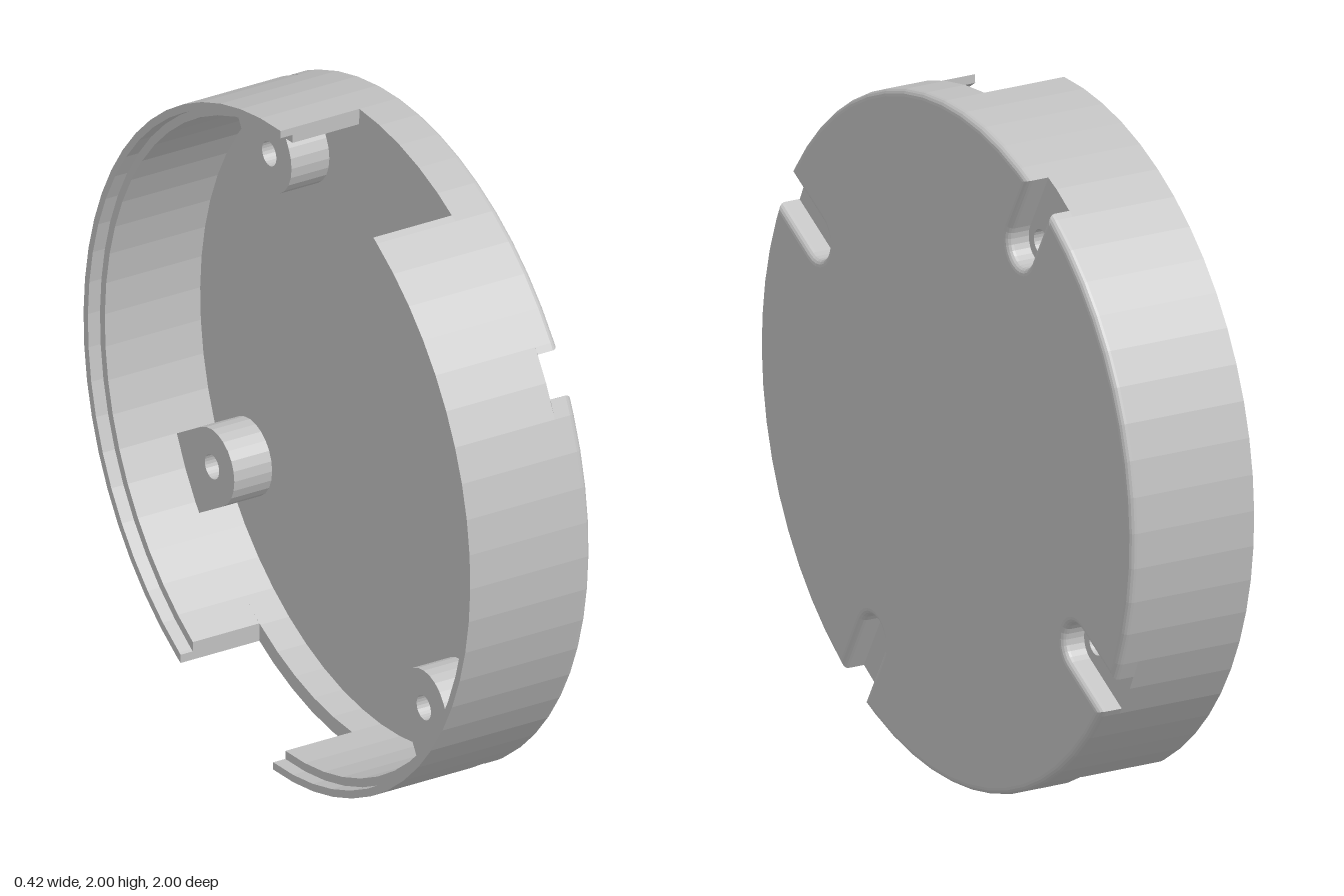
import * as THREE from 'three';

const R = 0.9975, INNER = 0.95, LIP = 0.975;   // outer wall, inner wall, rim lip radii
const SLOT = 0.065, HOLE = 0.8;                // slot half width, screw hole distance
const STEP = Math.PI / 30;
const slotAngles = [-121, -31, 59, 149].map(THREE.MathUtils.degToRad);
const grey = new THREE.MeshStandardMaterial({ color: 0xc0c0c0 });
grey.name = 'light grey plastic';

// Points on a circle, snapped to a common facet grid between the two ends
function arc(r, a0, a1) {
  const pts = [[r * Math.cos(a0), r * Math.sin(a0)]];
  for (let k = Math.floor(a0 / STEP) + 1; k * STEP < a1 - 1e-3; k++) {
    if (k * STEP > a0 + 1e-3) pts.push([r * Math.cos(k * STEP), r * Math.sin(k * STEP)]);
  }
  pts.push([r * Math.cos(a1), r * Math.sin(a1)]);
  return pts;
}

const toShape = (pts) => new THREE.Shape(pts.map(([x, y]) => new THREE.Vector2(x, y)));

// Curved wall piece; start and end give the end angle at each radius
function wallShape(rIn, rOut, start, end) {
  return toShape([...arc(rOut, start(rOut), end(rOut)), ...arc(rIn, start(rIn), end(rIn)).reverse()]);
}

// Points around a rounded end that faces the disc centre
function roundEnd(radius, steps = 12) {
  return Array.from({ length: steps + 1 }, (_, i) => {
    const a = Math.PI / 2 + (Math.PI * i) / steps;
    return [HOLE + radius * Math.cos(a), radius * Math.sin(a)];
  });
}

const turn = ([x, y], a) => [x * Math.cos(a) - y * Math.sin(a), x * Math.sin(a) + y * Math.cos(a)];

export function createModel() {
  const model = new THREE.Group();
  model.name = 'roundCover';
  const body = new THREE.Group();
  body.name = 'coverBody';

  // Extrude along the disc axis between two depths
  function add(name, shape, from, to, angle = 0, bevel = 0) {
    const geo = new THREE.ExtrudeGeometry(shape, {
      depth: to - from - 2 * bevel, curveSegments: 12, bevelEnabled: bevel > 0,
      bevelSize: bevel, bevelThickness: bevel, bevelOffset: -bevel, bevelSegments: 4,
    });
    geo.translate(0, 0, from + bevel);
    geo.rotateZ(angle);
    geo.rotateY(Math.PI / 2);
    const mesh = new THREE.Mesh(geo, grey);
    mesh.name = name;
    body.add(mesh);
  }

  // Face plate with four open slots and a rounded edge
  const outline = [];
  slotAngles.forEach((a, i) => {
    const next = i < 3 ? slotAngles[i + 1] : slotAngles[0] + 2 * Math.PI;
    const half = Math.asin(SLOT / R);
    outline.push(...roundEnd(SLOT).reverse().map((p) => turn(p, a)));
    outline.push(...arc(R, a + half, next - half));
  });
  add('facePlate', toShape(outline), 0.155, 0.2, 0, 0.02);

  // Shoulder of the wall, interrupted by the slots
  slotAngles.forEach((a, i) => {
    const next = i < 3 ? slotAngles[i + 1] : slotAngles[0] + 2 * Math.PI;
    add('wallShoulder', wallShape(INNER, R,
      (r) => a + Math.asin(SLOT / r), (r) => next - Math.asin(SLOT / r)), 0.13, 0.178);
  });

  // Unbroken band of the wall
  const ring = toShape(arc(R, 0, 2 * Math.PI).slice(0, -1));
  ring.holes.push(new THREE.Path(arc(INNER, 0, 2 * Math.PI).slice(0, -1).map(([x, y]) => new THREE.Vector2(x, y))));
  add('wallBand', ring, 0.06, 0.13);

  // Two wall halves with thin rim lips, leaving a notch at top and bottom
  for (const base of [0, Math.PI]) {
    const start = (r) => base + Math.acos(-0.48 / r);
    const end = () => base + 1.5 * Math.PI;
    add('wallHalf', wallShape(INNER, R, start, end), -0.16, 0.06);
    add('rimLip', wallShape(LIP, R, start, end), -0.2, -0.16);
  }

  // Screw bosses behind the slots, with collars around the slot sides
  const bossEnd = 0.955, bossHalf = 0.115;
  for (const a of slotAngles) {
    const boss = toShape([[bossEnd, bossHalf], ...roundEnd(bossHalf), [bossEnd, -bossHalf]]);
    const hole = new THREE.Path();
    hole.absarc(HOLE, 0, 0.037, 0, 2 * Math.PI, true);
    boss.holes.push(hole);
    add('screwBoss', boss, 0.03, 0.13, a);
    add('slotCollar', toShape([
      [bossEnd, bossHalf], ...roundEnd(bossHalf), [bossEnd, -bossHalf],
      [bossEnd, -SLOT], ...roundEnd(SLOT).reverse(), [bossEnd, SLOT],
    ]), 0.13, 0.178, a);
  }

  // Slight lean of the upright disc
  body.rotation.z = -0.0125;
  body.position.y = 1;
  model.add(body);
  return model;
}
